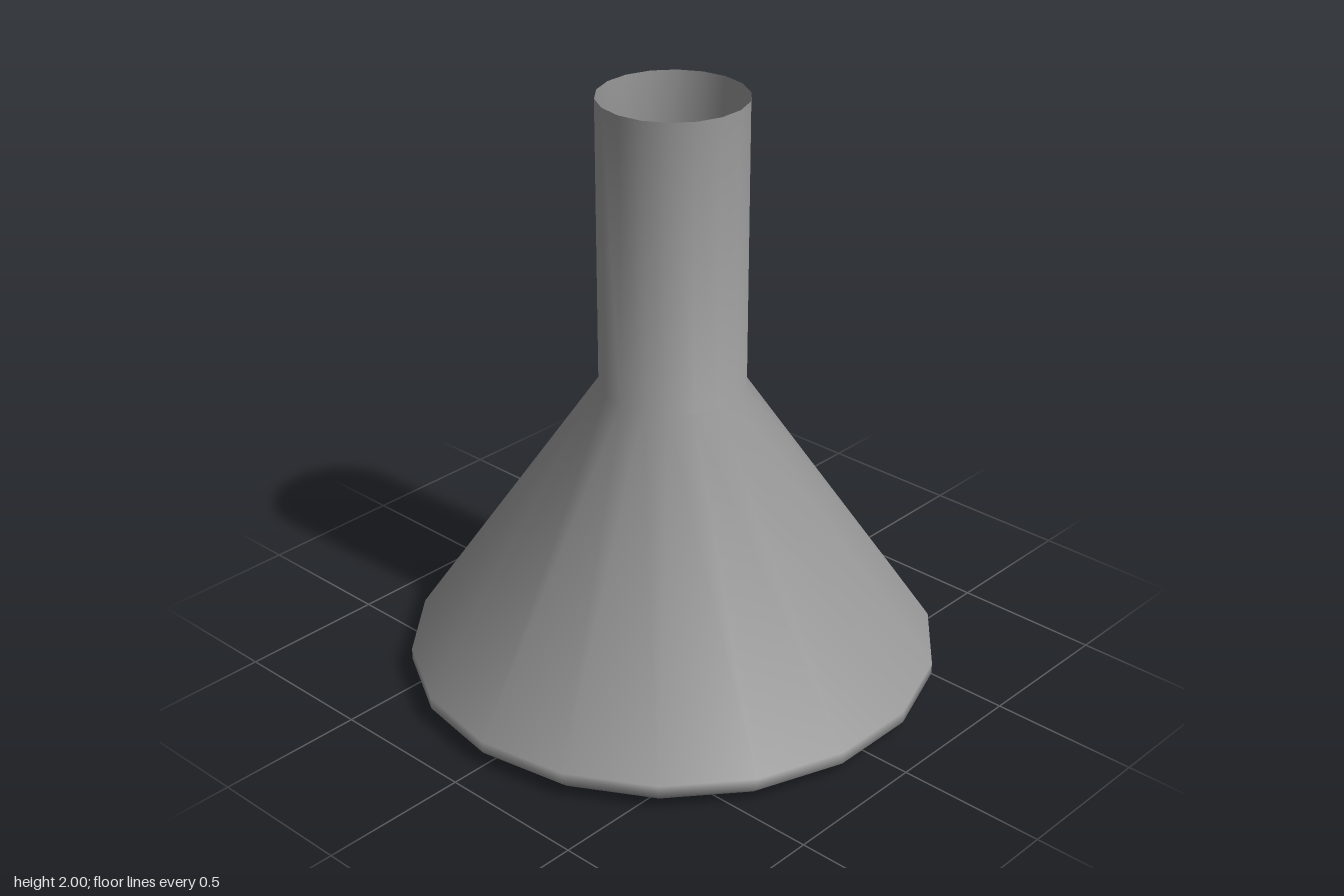
import * as THREE from 'three';

export function createModel() {
  const group = new THREE.Group();
  group.name = 'conicalFlask';

  const material = new THREE.MeshStandardMaterial({ color: 0x999999, side: THREE.DoubleSide });

  // Thin-walled profile: floor, rounded foot, sloping body, straight open neck
  const profile = [
    [0, 0], [0.79, 0], [0.845, 0.02], [0.88, 0.05], [0.88, 0.09],
    [0.24, 1.035], [0.24, 2],
  ].map(([r, y]) => new THREE.Vector2(r, y));

  // 18 sides, with a corner on the x axis
  const flask = new THREE.Mesh(new THREE.LatheGeometry(profile, 18, Math.PI / 2), material);
  flask.name = 'flaskBody';
  group.add(flask);

  return group;
}
